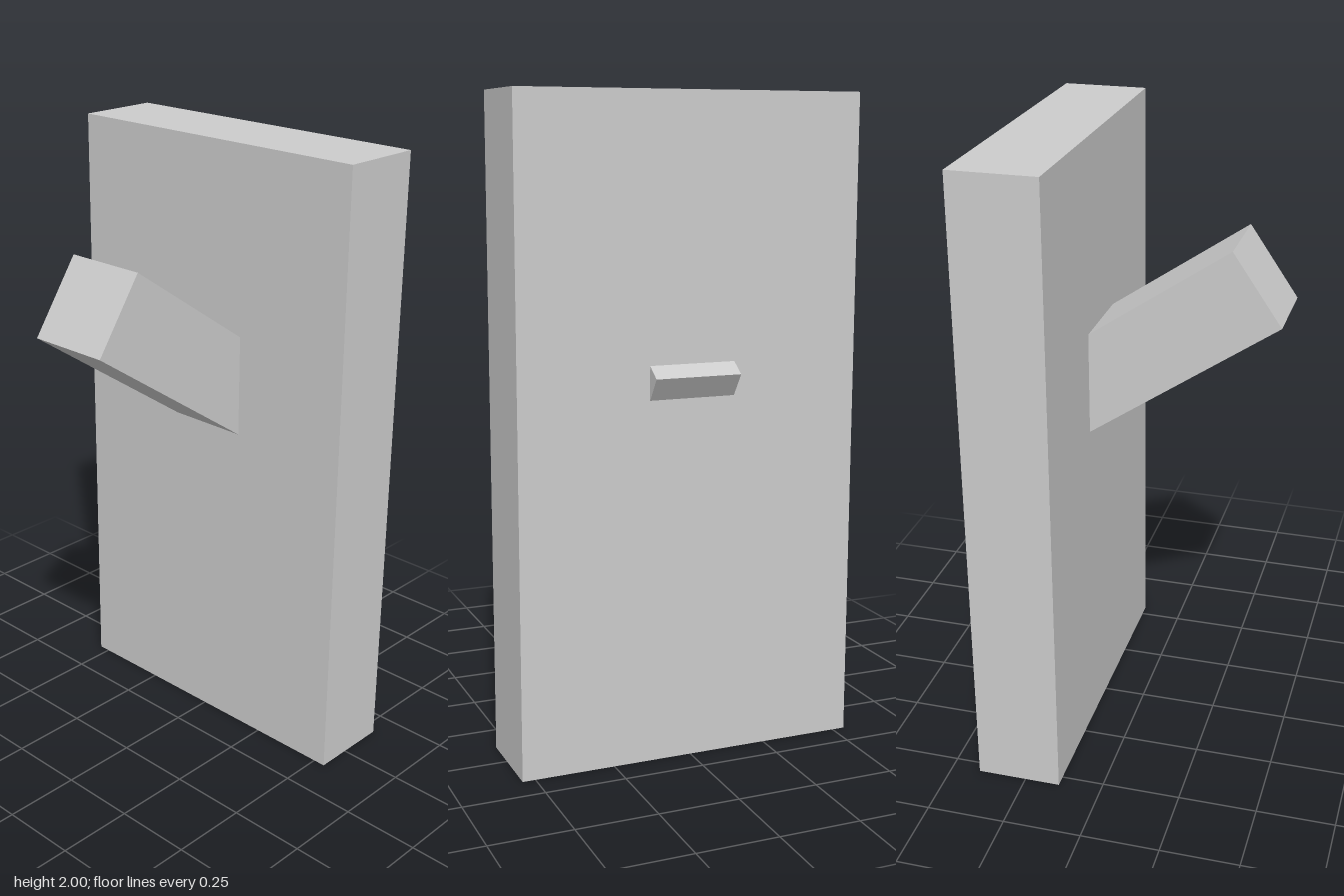
import * as THREE from 'three';

export function createModel() {
  const group = new THREE.Group();
  const material = new THREE.MeshStandardMaterial({ color: 0xcccccc, flatShading: true });

  const addBox = (name, width, height, depth, y, z) => {
    const mesh = new THREE.Mesh(new THREE.BoxGeometry(width, height, depth), material);
    mesh.name = name;
    mesh.position.set(0, y, z);
    group.add(mesh);
    return mesh;
  };

  // Upright slab
  addBox('wallPlate', 1.08, 2, 0.27, 1, -0.272);

  // Square bar slanting up to the front, its rear corner poking through the slab
  const lever = addBox('lever', 0.27, 0.27, 0.918, 1.33, 0);
  lever.rotation.x = -THREE.MathUtils.degToRad(34.5);

  return group;
}
